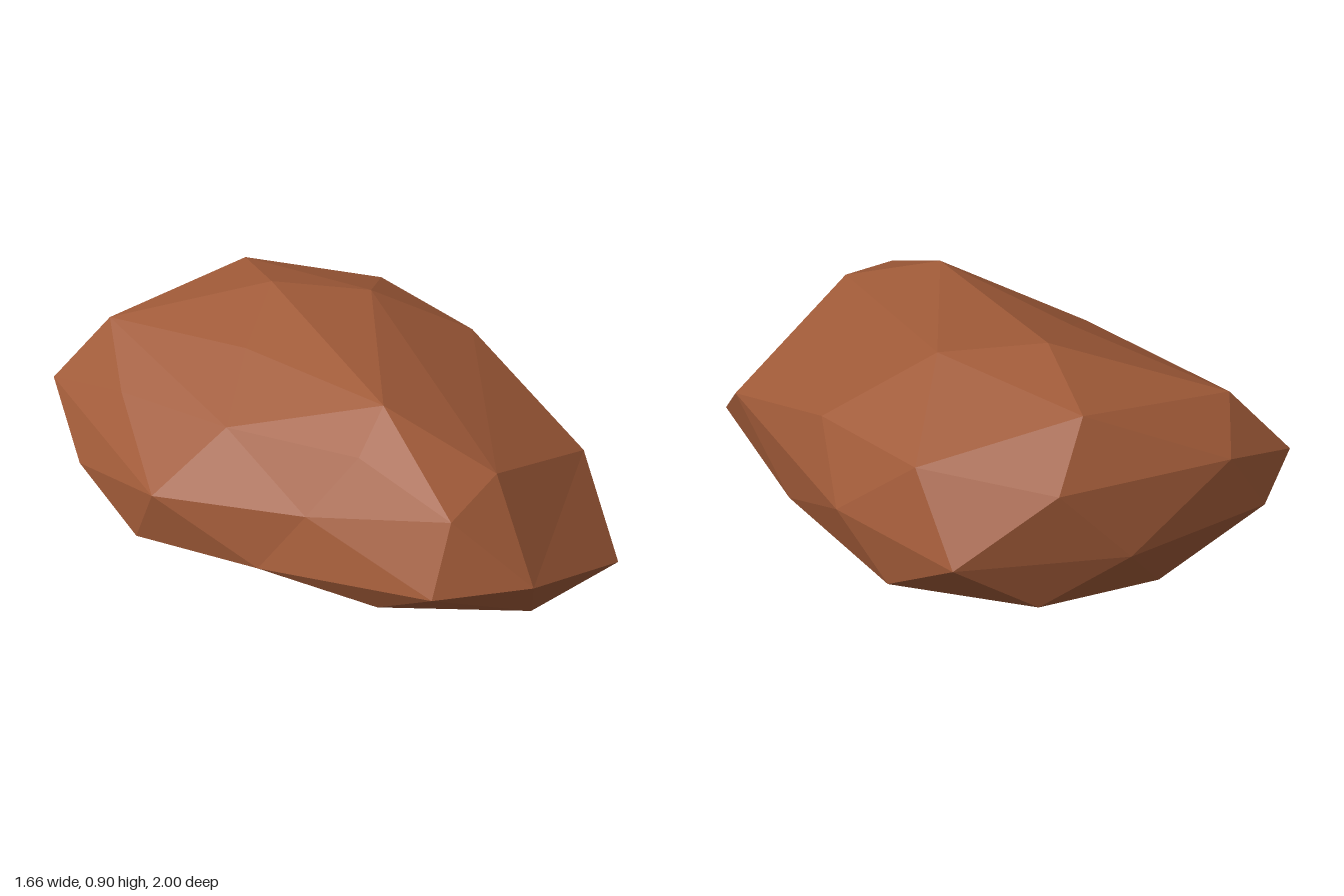
import * as THREE from 'three';
import { ConvexGeometry } from 'three/addons/geometries/ConvexGeometry.js';

// Corners of the boulder, from the crown down to the base
const corners = [
  // crown
  [-0.04, 0.9, -0.45], [0.3, 0.86, -0.3], [0, 0.83, -0.81], [0.01, 0.81, 0.4],
  [-0.25, 0.79, -0.2], [-0.59, 0.735, -0.73],
  // shoulder
  [0.53, 0.69, -0.68], [0.69, 0.65, -0.21], [0.28, 0.65, 0.72], [0.04, 0.6, 0.85],
  [-0.12, 0.68, 0.48], [-0.43, 0.64, 0.05], [-0.66, 0.59, -0.42], [-0.5, 0.6, -0.92],
  [0.15, 0.65, -0.96],
  // waist
  [0.83, 0.42, 0.41], [0.73, 0.43, -0.45], [0.5, 0.43, -0.92], [-0.1, 0.37, -1],
  [-0.67, 0.35, -0.89], [-0.81, 0.49, -0.8], [-0.83, 0.3, -0.46], [-0.71, 0.41, 0.02],
  [-0.31, 0.48, 0.46], [-0.06, 0.36, 0.92], [0.28, 0.36, 1],
  // lower edge
  [0.79, 0.15, 0.75], [0.36, 0.15, 0.87], [-0.15, 0.21, 0.7], [-0.45, 0.24, 0.36],
  [-0.74, 0.17, -0.1], [-0.66, 0.07, -0.42], [-0.6, 0.16, -0.75], [-0.3, 0.1, -0.84],
  [0.2, 0.2, -0.93], [0.62, 0.21, -0.63], [0.76, 0.18, 0.02],
  // base
  [-0.24, 0, -0.45], [0.1, 0.02, 0], [0.61, 0.03, 0.42], [0.04, 0.08, 0.48], [0.45, 0.05, -0.3],
].map((c) => new THREE.Vector3(...c));

// Round the corners out towards a ball so that dented ones also join the skin
function inflate(corner) {
  const p = corner.clone().sub(new THREE.Vector3(0.12, 0.44, 0));
  p.divide(new THREE.Vector3(0.83, 0.45, 1));
  return p.setLength(Math.pow(p.length(), 0.3));
}

function boulderGeometry() {
  const ball = corners.map(inflate);
  const geometry = new ConvexGeometry(ball);
  const position = geometry.attributes.position;
  const v = new THREE.Vector3();
  // Move each skin vertex back to its true corner
  for (let i = 0; i < position.count; i++) {
    v.fromBufferAttribute(position, i);
    let nearest = 0;
    ball.forEach((b, k) => {
      if (b.distanceToSquared(v) < ball[nearest].distanceToSquared(v)) nearest = k;
    });
    position.setXYZ(i, ...corners[nearest].toArray());
  }
  geometry.computeVertexNormals();
  return geometry;
}

export function createModel() {
  const group = new THREE.Group();
  group.name = 'rock';
  const stone = new THREE.MeshStandardMaterial({ color: 0xa05a38 });
  stone.name = 'reddish brown stone';
  stone.flatShading = true;
  const boulder = new THREE.Mesh(boulderGeometry(), stone);
  boulder.name = 'boulder';
  group.add(boulder);
  return group;
}
